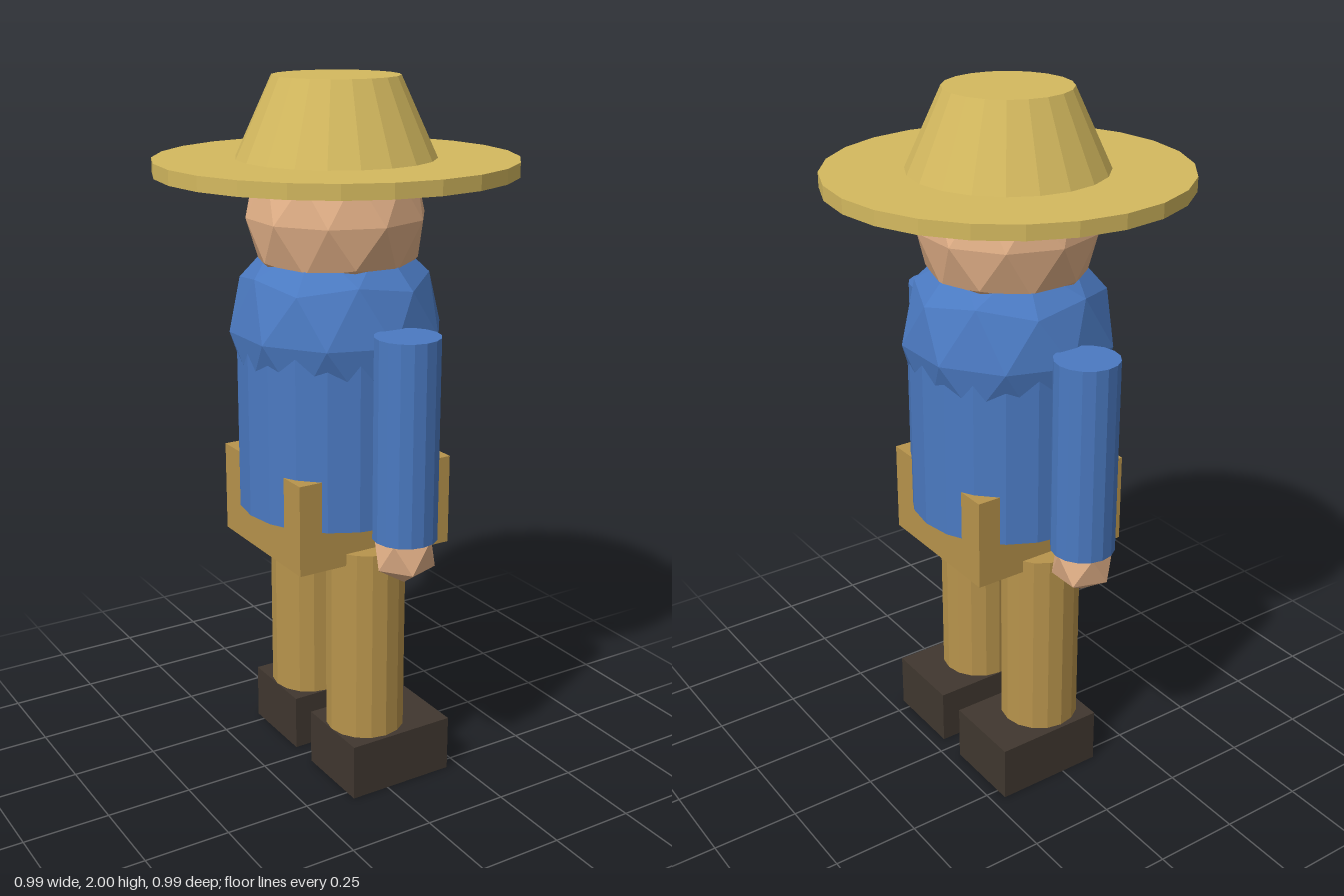
import * as THREE from 'three';

const material = (color) => new THREE.MeshStandardMaterial({ color, flatShading: true });

export function createModel() {
  const model = new THREE.Group();
  const straw = material(0xd4b95f);
  const skin = material(0xe3b188);
  const shirt = material(0x4b7ac2);
  const trousers = material(0xb8944c);
  const leather = material(0x40372f);

  const add = (name, geometry, mat, x, y, z) => {
    const mesh = new THREE.Mesh(geometry, mat);
    mesh.name = name;
    mesh.position.set(x, y, z);
    model.add(mesh);
  };

  // Upright cylinder or cone section between two heights
  const column = (name, mat, rTop, rBottom, y0, y1, sides, z = 0) =>
    add(name, new THREE.CylinderGeometry(rTop, rBottom, y1 - y0, sides), mat, 0, (y0 + y1) / 2, z);

  // Faceted ball with one vertex turned straight up
  const ball = (name, mat, r, detail, y, z = 0) => {
    const g = new THREE.IcosahedronGeometry(r, detail);
    g.rotateZ(-Math.atan(2 / (1 + Math.sqrt(5))));
    add(name, g, mat, 0, y, z);
  };

  // Hat
  column('hatBrim', straw, 0.495, 0.495, 1.745, 1.785, 24);
  column('hatCrown', straw, 0.173, 0.275, 1.78, 2, 20);

  // Head and upper body
  ball('head', skin, 0.25, 1, 1.63);
  ball('shoulders', shirt, 0.3, 1, 1.32);
  column('torso', shirt, 0.28, 0.28, 0.81, 1.34, 20);

  // Hips: a block whose corners stand out around the torso
  add('hips', new THREE.BoxGeometry(0.49, 0.26, 0.43), trousers, 0, 0.825, 0);

  // Limbs, mirrored across the body; the figure faces +x
  for (const [side, s] of [['right', 1], ['left', -1]]) {
    column(side + 'Arm', shirt, 0.089, 0.089, 0.81, 1.367, 16, s * 0.355);
    ball(side + 'Hand', skin, 0.0925, 0, 0.77, s * 0.355);
    column(side + 'Leg', trousers, 0.114, 0.114, 0.16, 0.73, 16, s * 0.161);
    add(side + 'Shoe', new THREE.BoxGeometry(0.326, 0.165, 0.242), leather, 0.048, 0.0825, s * 0.166);
  }
  return model;
}
